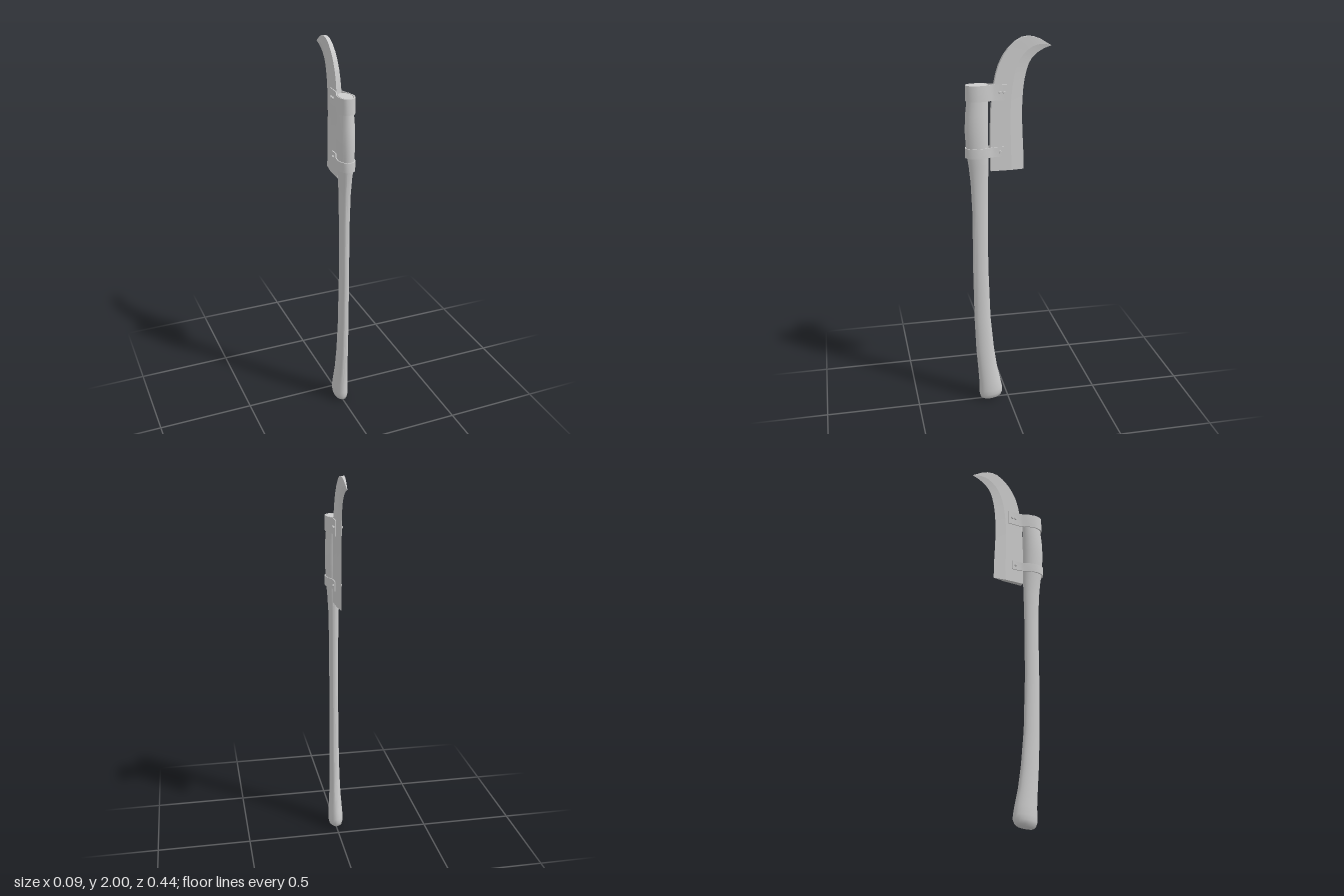
import * as THREE from 'three';
import { toCreasedNormals } from 'three/addons/utils/BufferGeometryUtils.js';

// Skin a stack of equal-length closed rings (arrays of [x, y, z]) and cap both ends.
function loft(rings, crease) {
  const n = rings[0].length, last = (rings.length - 1) * n, index = [];
  for (let r = 0; r < rings.length - 1; r++) {
    for (let i = 0; i < n; i++) {
      const a = r * n + i, b = r * n + (i + 1) % n;
      index.push(a, a + n, b, b, a + n, b + n);
    }
  }
  for (let i = 1; i < n - 1; i++) {
    index.push(0, i, i + 1, last, last + i + 1, last + i);
  }
  const geo = new THREE.BufferGeometry();
  geo.setAttribute('position', new THREE.Float32BufferAttribute(rings.flat(2), 3));
  geo.setIndex(index);
  return toCreasedNormals(geo, crease);
}

// Oval haft: y, front z, back z, half width
function haftGeometry() {
  const sections = [
    [0.005, 0.14, 0.055, 0.024], [0.014, 0.153, 0.04, 0.034], [0.035, 0.16, 0.032, 0.039],
    [0.06, 0.161, 0.033, 0.04], [0.11, 0.161, 0.042, 0.037], [0.2, 0.167, 0.061, 0.031],
    [0.32, 0.176, 0.078, 0.027], [0.5, 0.183, 0.095, 0.025], [0.8, 0.187, 0.105, 0.023],
    [1.1, 0.186, 0.105, 0.024], [1.27, 0.193, 0.102, 0.027], [1.36, 0.202, 0.1, 0.032],
    [1.43, 0.213, 0.1, 0.038], [1.54, 0.219, 0.1, 0.042], [1.62, 0.216, 0.1, 0.041],
    [1.7, 0.207, 0.099, 0.036], [1.77, 0.206, 0.098, 0.033],
  ];
  const sides = 20;
  const rings = sections.map(([y, front, back, w]) => {
    const mid = (front + back) / 2, depth = (front - back) / 2;
    const tilt = 0.1 * Math.max(0, 1 - y / 0.15); // slanted butt
    return Array.from({ length: sides }, (_, i) => {
      const a = (i / sides) * Math.PI * 2, dz = Math.sin(a) * depth;
      return [Math.cos(a) * w, y + tilt * (depth * 0.6 - dz), mid + dz];
    });
  });
  return loft(rings, 0.8);
}

// Hooked blade: spine z, spine y, cutting edge z, cutting edge y, half thickness
function bladeGeometry() {
  const stations = [
    [0.09, 1.33, -0.083, 1.33, 0.013], [0.09, 1.43, -0.081, 1.43, 0.013],
    [0.09, 1.54, -0.076, 1.53, 0.013], [0.087, 1.64, -0.073, 1.62, 0.013],
    [0.08, 1.71, -0.075, 1.69, 0.013], [0.071, 1.77, -0.079, 1.745, 0.013],
    [0.061, 1.82, -0.085, 1.79, 0.0125], [0.046, 1.867, -0.095, 1.835, 0.012],
    [0.024, 1.91, -0.107, 1.868, 0.0115], [-0.002, 1.945, -0.12, 1.89, 0.011],
    [-0.036, 1.976, -0.135, 1.906, 0.0105], [-0.07, 1.995, -0.15, 1.919, 0.01],
    [-0.1, 2.0, -0.165, 1.928, 0.009], [-0.13, 1.997, -0.18, 1.936, 0.0075],
    [-0.165, 1.984, -0.196, 1.943, 0.005], [-0.218, 1.952, -0.219, 1.95, 0.0012],
  ];
  const rings = stations.map(([zs, ys, ze, ye, t]) => {
    const k = 0.62, zm = zs + (ze - zs) * k, ym = ys + (ye - ys) * k; // bevel line
    return [[t, ys, zs], [-t, ys, zs], [-t * 0.8, ym, zm], [0, ye, ze], [t * 0.8, ym, zm]];
  });
  return loft(rings, 0.12);
}

// Strap bent round the haft, its two tails lying flat on the blade
function strapGeometry(front, mid, width, tail, height) {
  const thick = 0.005, tailX = 0.0125;
  const outline = (g) => {
    const pts = [[tailX + g, tail], [tailX + g, 0.07], [0.019 + g, 0.09], [width * 0.82 + g, 0.117]];
    for (let i = 0; i <= 6; i++) {
      const a = (i / 6) * Math.PI / 2;
      pts.push([Math.cos(a) * width + (i < 6 ? g : 0), mid + Math.sin(a) * (front - mid) + g * Math.sin(a)]);
    }
    pts[pts.length - 1][0] = 0;
    return pts.concat(pts.slice(0, -1).reverse().map(([x, z]) => [-x, z]));
  };
  const loop = outline(thick).concat(outline(0).reverse());
  const shape = new THREE.Shape(loop.map(([x, z]) => new THREE.Vector2(x, -z)));
  const geo = new THREE.ExtrudeGeometry(shape, { depth: height, bevelEnabled: false });
  geo.rotateX(-Math.PI / 2);
  return toCreasedNormals(geo, 0.6);
}

export function createModel() {
  const model = new THREE.Group();
  model.name = 'longHandledBillhook';
  const grey = new THREE.MeshStandardMaterial({ color: 0xcccccc });
  grey.name = 'plain grey';

  const add = (name, geo, parent = model) => {
    const mesh = new THREE.Mesh(geo, grey);
    mesh.name = name;
    parent.add(mesh);
    return mesh;
  };

  add('haft', haftGeometry());
  add('blade', bladeGeometry());

  // Straps with rivets on both tails
  const straps = [
    { name: 'upperStrap', y: 1.692, h: 0.079, front: 0.208, width: 0.037, tail: 0.0, rivets: [0.022, 0.042] },
    { name: 'lowerStrap', y: 1.405, h: 0.05, front: 0.214, width: 0.039, tail: 0.022, rivets: [0.042] },
  ];
  const rivet = new THREE.CylinderGeometry(0.006, 0.008, 0.009, 10).rotateZ(-Math.PI / 2);
  for (const s of straps) {
    const group = new THREE.Group();
    group.name = s.name;
    model.add(group);
    const band = add(s.name + 'Band', strapGeometry(s.front, 0.155, s.width, s.tail, s.h), group);
    band.position.y = s.y;
    for (const side of [1, -1]) {
      for (const z of s.rivets) {
        const head = add(s.name + 'Rivet', rivet, group);
        head.position.set(side * 0.0205, s.y + s.h / 2, z);
        if (side < 0) head.rotation.y = Math.PI;
      }
    }
  }
  return model;
}
